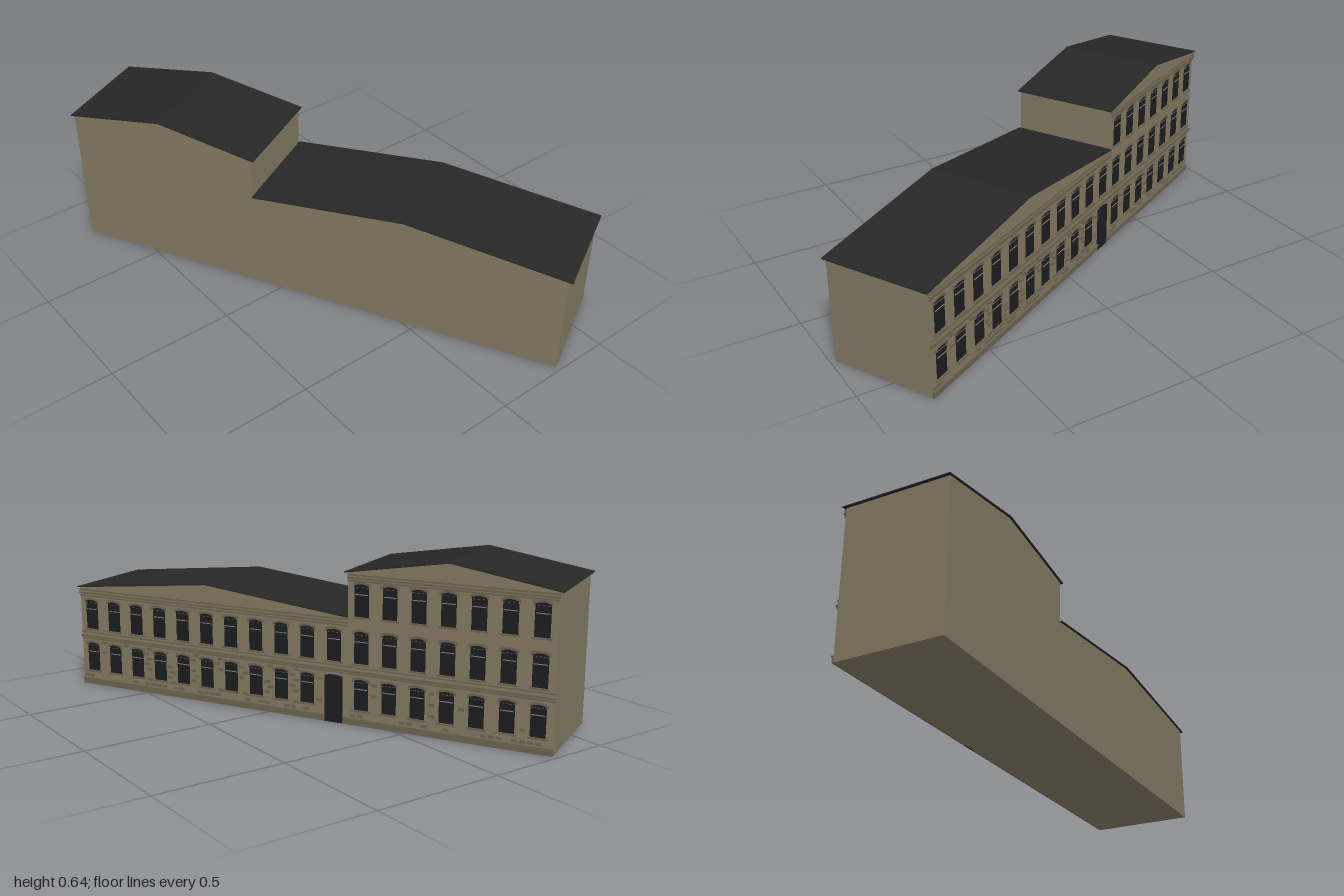
import * as THREE from 'three';
import { mergeGeometries } from 'three/addons/utils/BufferGeometryUtils.js';

const WALL = new THREE.MeshStandardMaterial({ name: 'stone wall', color: 0x827861 });
const TRIM = new THREE.MeshStandardMaterial({ name: 'stone trim', color: 0x6c634f });
const ROOF = new THREE.MeshStandardMaterial({ name: 'dark roof', color: 0x262626 });
const GLASS = new THREE.MeshStandardMaterial({ name: 'dark glass', color: 0x1b1c1e });
const BAR = new THREE.MeshStandardMaterial({ name: 'sash bar', color: 0x8a8270 });

const HALF_DEPTH = 0.205, SPLIT = -0.222, COLUMNS = 18, LOW_COLUMNS = 11;

function polygon(points) {
  return new THREE.Shape(points.map(([x, y]) => new THREE.Vector2(x, y)));
}

function extrude(shape, depth, z = 0) {
  return new THREE.ExtrudeGeometry(shape, { depth, bevelEnabled: false, curveSegments: 4 }).translate(0, 0, z);
}

// Non-indexed, so that boxes merge with extrusions
function box(w, h, d, x, y, z) {
  return new THREE.BoxGeometry(w, h, d).toNonIndexed().translate(x, y, z);
}

function add(group, name, geometry, material) {
  const mesh = new THREE.Mesh(geometry, material);
  mesh.name = name;
  group.add(mesh);
}

// Opening with a shallow segmental arch at the top
function archedShape(x, y0, w, h, rise) {
  const s = new THREE.Shape();
  s.moveTo(x - w / 2, y0);
  s.lineTo(x + w / 2, y0);
  s.lineTo(x + w / 2, y0 + h - rise);
  s.quadraticCurveTo(x, y0 + h + rise, x - w / 2, y0 + h - rise);
  s.closePath();
  return s;
}

// Gabled block with a thin roof; the ridge runs from front to back
function wing(name, x0, x1, eave, ridge, roofX0, roofX1) {
  const g = new THREE.Group();
  g.name = name;
  const mid = (x0 + x1) / 2;
  add(g, 'walls', extrude(polygon([[x0, 0], [x1, 0], [x1, eave - 0.002], [mid, ridge - 0.005], [x0, eave - 0.002]]),
    HALF_DEPTH * 2, -HALF_DEPTH), WALL);
  const t = 0.004;
  add(g, 'roof', extrude(polygon([[roofX0, eave - t], [mid, ridge - t], [roofX1, eave - t],
    [roofX1, eave], [mid, ridge], [roofX0, eave]]), 0.425, -0.2125), ROOF);
  return g;
}

function seeded(seed) {
  return () => (seed = (seed * 16807) % 2147483647) / 2147483647;
}

// Decorated facade, facing +z before it is turned to the back
function facade() {
  const g = new THREE.Group();
  g.name = 'facade';
  const glass = [], bars = [], surrounds = [], stones = [], bands = [];
  const rows = [[0.06, 0.118], [0.237, 0.122], [0.413, 0.122]];
  const columnX = (i) => -1 + (i + 0.5) * 2 / COLUMNS;
  const doorColumn = LOW_COLUMNS - 1;
  const w = 0.056;

  // Windows, three storeys on the tall wing and two on the low one
  for (let i = 0; i < COLUMNS; i++) {
    const x = columnX(i);
    rows.forEach(([y, h], row) => {
      if (row === 2 && i < LOW_COLUMNS) return;
      if (row === 0 && i === doorColumn) return;
      glass.push(extrude(archedShape(x, y, w, h, 0.006), 0.002));
      bars.push(box(w - 0.006, 0.003, 0.002, x, y + h * 0.68, 0.003));
      surrounds.push(box(w + 0.014, 0.006, 0.009, x, y - 0.003, 0.0045));
      const hood = archedShape(x, y + h - 0.012, w + 0.012, 0.02, 0.006);
      hood.holes.push(archedShape(x, y + h - 0.0119, w, 0.0119, 0.006));
      surrounds.push(extrude(hood, 0.005));
    });
  }

  // Rough stonework on the ground floor, left out at the openings
  const random = seeded(41);
  for (let row = 0; row < 8; row++) {
    const y = 0.037 + row * 0.021;
    for (let x = -0.985 + (row % 2) * 0.014; x < 0.99; x += 0.028) {
      const i = Math.min(COLUMNS - 1, Math.floor((x + 1) * COLUMNS / 2));
      const clear = Math.abs(x - columnX(i));
      const blocked = i === doorColumn ? clear < 0.055 : clear < 0.045 && y > 0.045 && y < 0.19;
      if (!blocked && random() < 0.55) stones.push(box(0.02, 0.011, 0.006, x, y, 0.003));
    }
  }

  // Plinth, string courses and stepped cornices: [x0, x1, y, height, depth]
  const splitX = -SPLIT, doorX = columnX(doorColumn);
  [[-1, doorX - 0.038, 0.012, 0.024, 0.006], [doorX + 0.038, 1, 0.012, 0.024, 0.006],
    [-1, doorX - 0.038, 0.024, 0.005, 0.01], [doorX + 0.038, 1, 0.024, 0.005, 0.01],
    [-1, 1, 0.196, 0.006, 0.005], [-1, 1, 0.206, 0.008, 0.01], [-1, 1, 0.222, 0.005, 0.005],
    [-1, splitX, 0.376, 0.006, 0.005], [-1, splitX, 0.388, 0.007, 0.01], [-1, splitX, 0.4, 0.006, 0.008],
    [splitX, 1, 0.545, 0.006, 0.005], [splitX, 1, 0.556, 0.007, 0.01], [splitX, 1, 0.567, 0.006, 0.008],
  ].forEach(([x0, x1, y, h, d]) => bands.push(box(x1 - x0, h, d, (x0 + x1) / 2, y, d / 2)));

  add(g, 'windows', mergeGeometries(glass), GLASS);
  add(g, 'windowBars', mergeGeometries(bars), BAR);
  add(g, 'sillsAndHoods', mergeGeometries(surrounds), TRIM);
  add(g, 'rusticStones', mergeGeometries(stones), TRIM);
  add(g, 'bandsAndCornices', mergeGeometries(bands), TRIM);
  add(g, 'door', extrude(archedShape(doorX, 0, 0.072, 0.184, 0.005), 0.006), GLASS);
  return g;
}

export function createModel() {
  const building = new THREE.Group();
  building.name = 'building';
  building.add(wing('tallWing', -1, SPLIT, 0.577, 0.642, -1.013, SPLIT + 0.012));
  building.add(wing('lowWing', SPLIT, 1, 0.411, 0.476, SPLIT, 1.013));
  const back = facade();
  back.rotation.y = Math.PI;
  back.position.z = -HALF_DEPTH;
  building.add(back);

  // The whole block stands at an angle to the axes
  building.rotation.y = 0.479;
  const model = new THREE.Group();
  model.name = 'model';
  model.add(building);
  return model;
}
